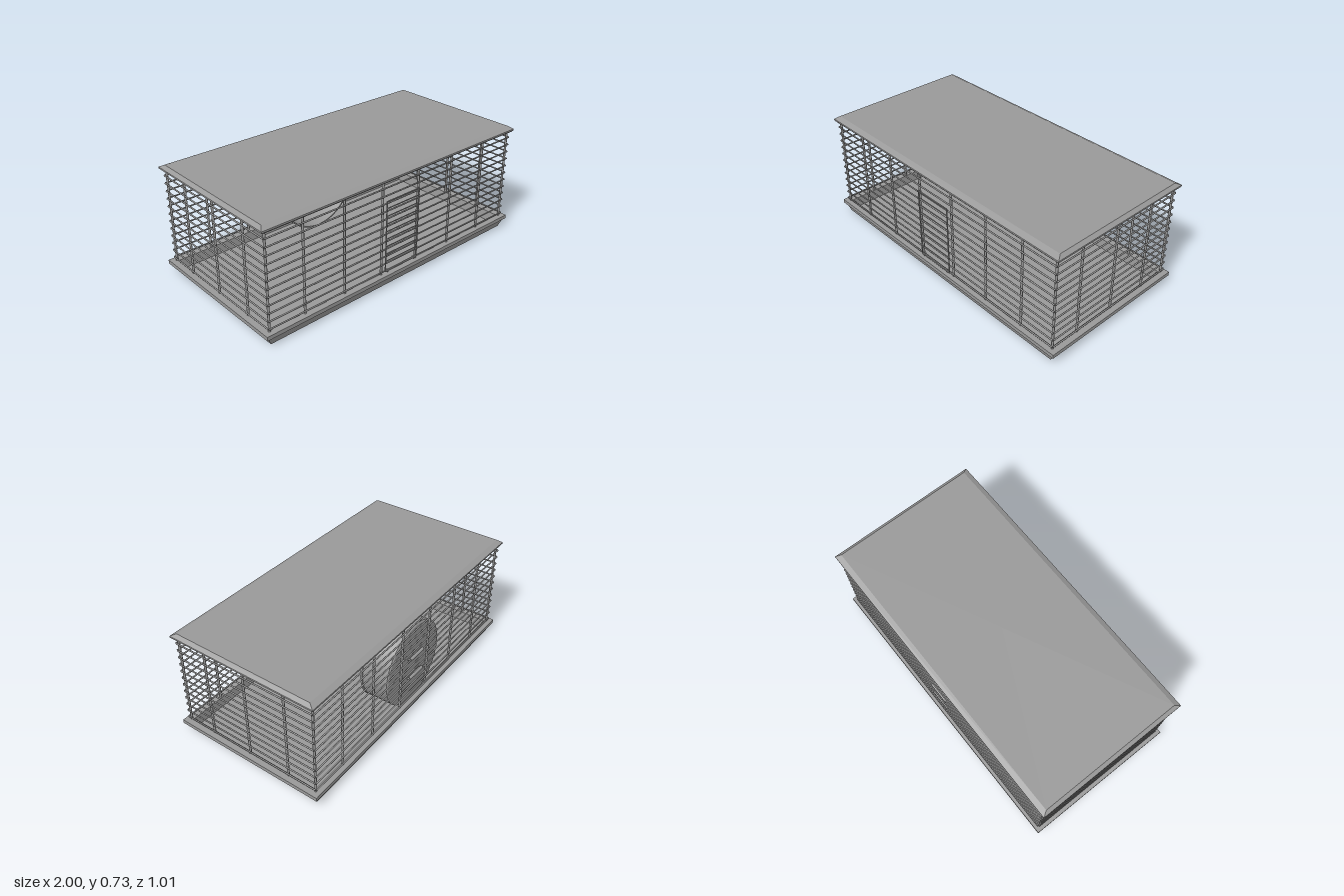
import * as THREE from 'three';
import { toCreasedNormals } from 'three/addons/utils/BufferGeometryUtils.js';

// Flat-sided solid from rectangular sections [halfX, halfZ, y], outside going up.
function rectLoft(sections) {
  const corners = [[1, 1], [1, -1], [-1, -1], [-1, 1]];
  const pos = [];
  const point = ([hx, hz, y], i) => [corners[i % 4][0] * hx, y, corners[i % 4][1] * hz];
  for (let s = 0; s < sections.length - 1; s++) {
    for (let i = 0; i < 4; i++) {
      const a = point(sections[s], i), b = point(sections[s], i + 1);
      const c = point(sections[s + 1], i + 1), d = point(sections[s + 1], i);
      if (sections[s][0] > 0) pos.push(...a, ...b, ...c);
      if (sections[s + 1][0] > 0) pos.push(...a, ...c, ...d);
    }
  }
  const g = new THREE.BufferGeometry();
  g.setAttribute('position', new THREE.Float32BufferAttribute(pos, 3));
  g.computeVertexNormals();
  return g;
}

export function createModel() {
  const model = new THREE.Group();
  model.name = 'cage';
  const grey = new THREE.MeshStandardMaterial({ color: 0x999999 });
  grey.name = 'grey';

  const add = (parent, name, geometry) => {
    const mesh = new THREE.Mesh(geometry, grey);
    mesh.name = name;
    parent.add(mesh);
    return mesh;
  };
  const group = (name) => {
    const g = new THREE.Group();
    g.name = name;
    model.add(g);
    return g;
  };
  // Straight wire between two points
  const wire = (parent, name, a, b, r) => {
    const from = new THREE.Vector3(...a), dir = new THREE.Vector3(...b).sub(from);
    const mesh = add(parent, name, new THREE.CylinderGeometry(r, r, dir.length(), 8));
    mesh.position.copy(from).addScaledVector(dir, 0.5);
    mesh.quaternion.setFromUnitVectors(new THREE.Vector3(0, 1, 0), dir.normalize());
  };

  // Hollow tray with an overhanging rim
  add(model, 'tray', rectLoft([
    [0, 0, 0], [0.96, 0.48, 0], [0.987, 0.496, 0.055], [1, 0.507, 0.055], [1, 0.507, 0.08],
    [0.95, 0.46, 0.08], [0.945, 0.455, 0.015], [0, 0, 0.015],
  ]));

  // Bevelled roof
  add(model, 'roof', rectLoft([
    [0, 0, 0.69], [0.985, 0.494, 0.69], [0.993, 0.5, 0.698], [0.993, 0.5, 0.708],
    [0.97, 0.466, 0.725], [0, 0, 0.725],
  ]));

  // Upright posts
  const posts = group('posts');
  for (const x of [-0.96, -0.718, -0.431, -0.144, 0.144, 0.431, 0.718, 0.96]) {
    for (const z of [-0.472, 0.472]) wire(posts, 'post', [x, 0.06, z], [x, 0.695, z], 0.0075);
  }
  for (const z of [-0.28, 0, 0.28]) {
    for (const x of [-0.96, 0.96]) wire(posts, 'post', [x, 0.06, z], [x, 0.695, z], 0.0075);
  }

  // Horizontal bars outside the posts
  const bars = group('bars');
  for (let i = 0; i < 12; i++) {
    const y = 0.102 + i * 0.05;
    for (const s of [-1, 1]) {
      wire(bars, 'longBar', [-0.97, y, s * 0.484], [0.97, y, s * 0.484], 0.0048);
      wire(bars, 'shortBar', [s * 0.972, y, -0.48], [s * 0.972, y, 0.48], 0.0048);
    }
  }

  // Wire door on the front, with hinge loops at the bottom
  const door = group('door');
  for (const s of [-1, 1]) {
    wire(door, 'doorSide', [s * 0.13, 0.105, 0.494], [s * 0.13, 0.57, 0.494], 0.004);
    const hinge = add(door, 'doorHinge', new THREE.TorusGeometry(0.008, 0.003, 6, 14));
    hinge.rotation.y = Math.PI / 2;
    hinge.position.set(s * 0.11, 0.104, 0.488);
  }
  for (const y of [0.105, 0.57]) wire(door, 'doorEnd', [-0.13, y, 0.494], [0.13, y, 0.494], 0.004);
  for (let i = 0; i < 8; i++) {
    const y = 0.18 + i * 0.05;
    wire(door, 'doorBar', [-0.13, y, 0.5], [0.13, y, 0.5], 0.0035);
  }

  // Running wheel: open at the front, closed disc at the back, raised hub
  const wheel = group('wheel');
  wheel.position.set(0, 0.33, 0);
  const lathe = (points, sides) => toCreasedNormals(
    new THREE.LatheGeometry(points.map(([r, z]) => new THREE.Vector2(r, z)), sides)
      .rotateX(Math.PI / 2), 0.5);
  add(wheel, 'drum', lathe([
    [0, -0.466], [0.272, -0.466], [0.281, -0.46], [0.281, -0.292], [0.285, -0.29], [0.285, -0.276],
    [0.276, -0.276], [0.258, -0.452], [0, -0.452],
  ], 40));
  add(wheel, 'hub', lathe([
    [0.09, -0.454], [0.085, -0.445], [0.058, -0.41], [0.025, -0.41], [0.022, -0.4], [0, -0.4],
  ], 32));

  // Two curled clips that hang the wheel on the back bars
  const curve = new THREE.Shape();
  curve.moveTo(0.462, -0.008);
  curve.lineTo(0.478, -0.008);
  curve.absarc(0.482, 0, 0.011, -1.9, 1.9, false);
  curve.lineTo(0.478, 0.006);
  curve.absarc(0.482, 0, 0.007, 1.9, -0.9, true);
  curve.lineTo(0.462, -0.004);
  for (const [y, flip] of [[0.075, 1], [-0.07, 1]]) {
    const clip = add(wheel, 'clip', new THREE.ExtrudeGeometry(curve,
      { depth: 0.14, bevelEnabled: false, curveSegments: 8 }).translate(0, 0, -0.07));
    clip.rotation.y = Math.PI / 2;
    clip.position.y = y;
  }
  return model;
}
